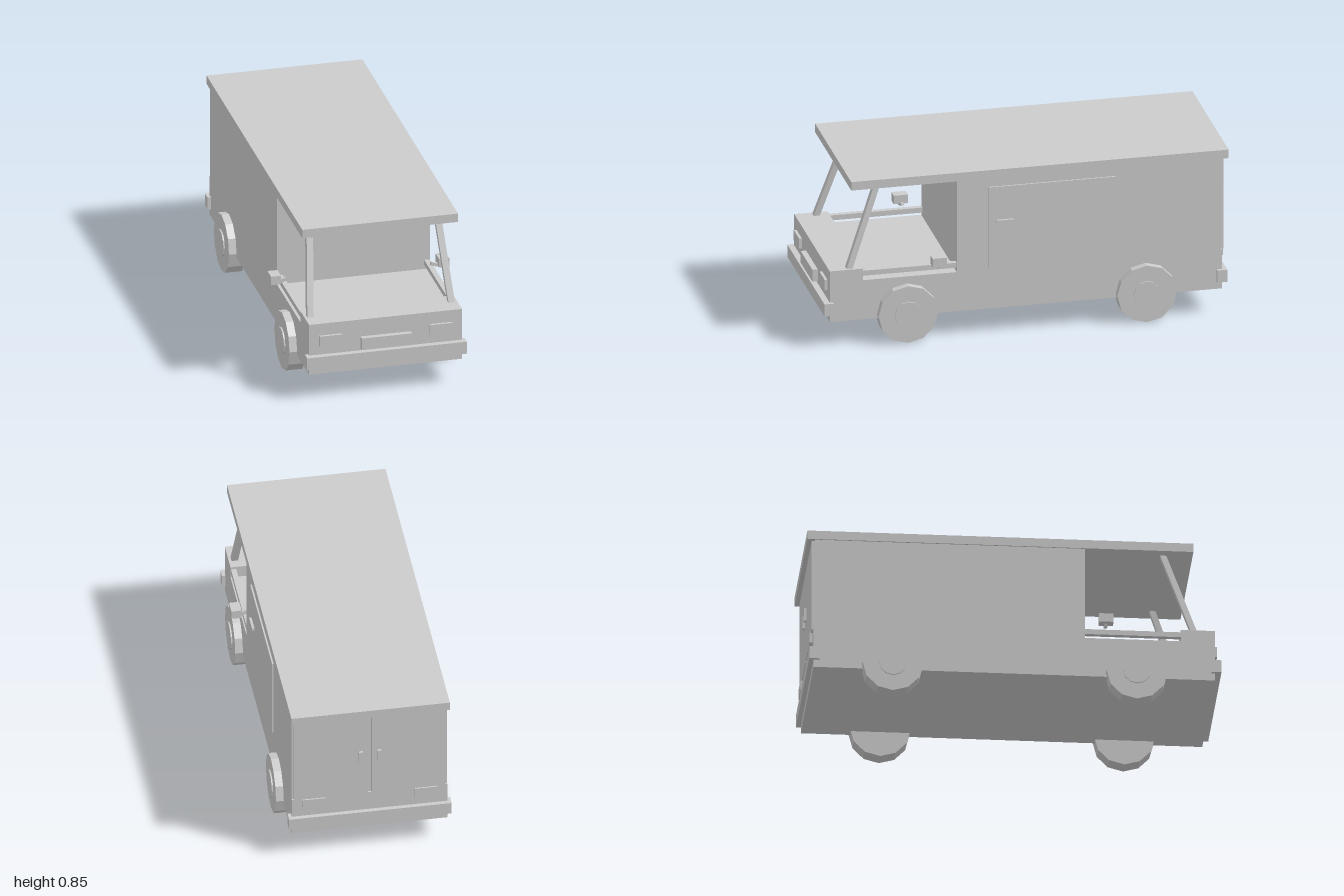
import * as THREE from 'three';

export function createModel() {
  const group = new THREE.Group();
  const material = new THREE.MeshStandardMaterial({ color: 0xcccccc, flatShading: true });

  function add(name, geometry) {
    const mesh = new THREE.Mesh(geometry, material);
    mesh.name = name;
    group.add(mesh);
    return mesh;
  }

  // Box given by its extents on each axis
  function box(name, [x0, x1], [y0, y1], [z0, z1]) {
    const mesh = add(name, new THREE.BoxGeometry(x1 - x0, y1 - y0, z1 - z0));
    mesh.position.set((x0 + x1) / 2, (y0 + y1) / 2, (z0 + z1) / 2);
    return mesh;
  }

  // Same box on the left (+x) and right (-x)
  function pair(name, [x0, x1], y, z) {
    box(name + 'Left', [x0, x1], y, z);
    box(name + 'Right', [-x1, -x0], y, z);
  }

  // Body
  box('chassis', [-0.38, 0.38], [0.127, 0.33], [-0.97, 0.97]);
  box('nose', [-0.38, 0.38], [0.33, 0.39], [0.805, 0.97]);
  box('cargoBox', [-0.38, 0.38], [0.33, 0.803], [-0.962, 0.342]);
  box('roof', [-0.387, 0.387], [0.803, 0.847], [-1, 0.865]);
  pair('cabRail', [0.352, 0.378], [0.352, 0.378], [0.342, 0.805]);

  // Bumpers, lamps and plate
  box('frontBumper', [-0.397, 0.397], [0.165, 0.228], [0.952, 1]);
  box('rearBumper', [-0.397, 0.397], [0.165, 0.228], [-0.992, -0.942]);
  pair('headlight', [0.218, 0.33], [0.275, 0.328], [0.96, 0.984]);
  pair('tailLight', [0.218, 0.33], [0.28, 0.332], [-0.985, -0.96]);
  box('frontPlate', [-0.125, 0.125], [0.24, 0.301], [0.96, 0.997]);

  // Side door, on the left only
  box('sideDoor', [0.37, 0.388], [0.34, 0.758], [-0.445, 0.187]);
  box('sideDoorHandle', [0.38, 0.4], [0.572, 0.587], [0.064, 0.15]);

  // Rear doors
  pair('rearDoor', [0.009, 0.37], [0.33, 0.8], [-0.978, -0.955]);
  pair('rearDoorHandle', [0.035, 0.055], [0.523, 0.59], [-0.99, -0.97]);

  for (const side of [1, -1]) {
    const label = side > 0 ? 'Left' : 'Right';

    // Windscreen pillar: a box sheared inward and backward towards its top
    const pillar = new THREE.BoxGeometry(0.032, 0.42, 0.03);
    const p = pillar.attributes.position;
    for (let i = 0; i < p.count; i++) {
      const t = p.getY(i) / 0.42 + 0.5;
      p.setX(i, p.getX(i) + side * (0.351 - 0.034 * t));
      p.setZ(i, p.getZ(i) + 0.87 - 0.148 * t);
      p.setY(i, 0.387 + 0.42 * t);
    }
    pillar.computeVertexNormals();
    add('pillar' + label, pillar);

    // Mirror on a short sloping arm
    const mirror = box('mirror' + label, [-0.025, 0.025], [0.391, 0.435], [0.405, 0.475]);
    mirror.position.x = side * 0.418;
    const arm = add('mirrorArm' + label, new THREE.BoxGeometry(0.06, 0.016, 0.016));
    arm.position.set(side * 0.388, 0.393, 0.44);
    arm.rotation.z = -side * 0.3;

    // Wheels with raised hubs
    for (const [end, z] of [['front', 0.59], ['rear', -0.59]]) {
      const wheel = add(end + 'Wheel' + label, new THREE.CylinderGeometry(0.147, 0.147, 0.082, 12));
      wheel.position.set(side * 0.377, 0.147, z);
      wheel.rotation.z = Math.PI / 2;
      const hub = add(end + 'Hub' + label, new THREE.CylinderGeometry(0.067, 0.067, 0.03, 12));
      hub.position.set(side * 0.41, 0.147, z);
      hub.rotation.z = Math.PI / 2;
    }
  }

  return group;
}
